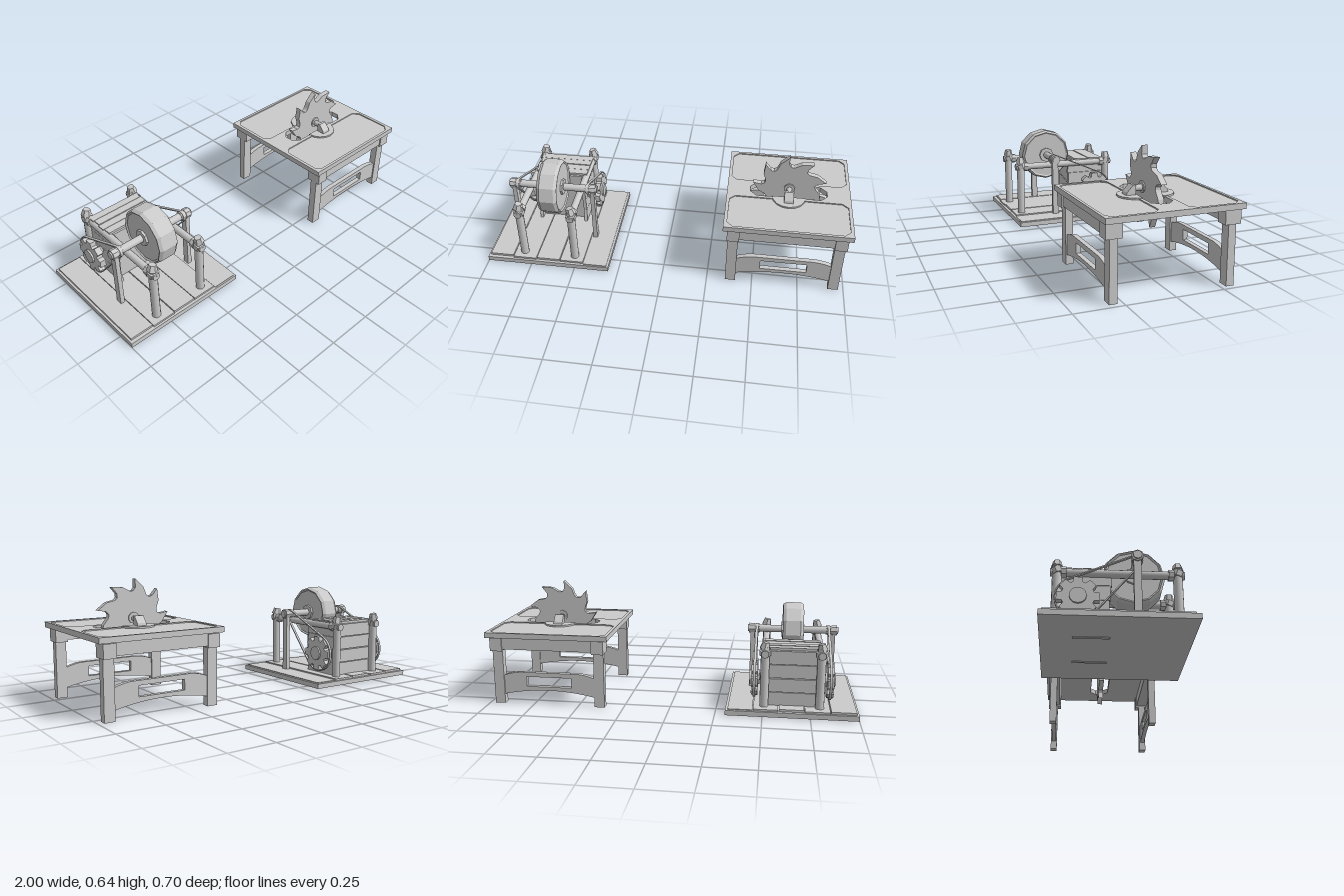
import * as THREE from 'three';

const flat = new THREE.MeshStandardMaterial({ color: 0xcccccc, flatShading: true });
const smooth = new THREE.MeshStandardMaterial({ color: 0xcccccc });

export function createModel() {
  const root = new THREE.Group();
  const table = new THREE.Group(), grinder = new THREE.Group();
  table.name = 'sawTable';
  grinder.name = 'grinder';
  root.add(table, grinder);

  const add = (parent, name, geo, mat = flat) => {
    const m = new THREE.Mesh(geo, mat);
    m.name = name;
    parent.add(m);
    return m;
  };
  // Box given by its minimum and maximum corners
  const box = (parent, name, x0, x1, y0, y1, z0, z1) =>
    add(parent, name, new THREE.BoxGeometry(x1 - x0, y1 - y0, z1 - z0)
      .translate((x0 + x1) / 2, (y0 + y1) / 2, (z0 + z1) / 2));
  // Cylinder along an axis
  const rod = (parent, name, axis, r, len, x, y, z, sides = 12, mat = flat) => {
    const g = new THREE.CylinderGeometry(r, r, len, sides);
    if (axis === 'x') g.rotateZ(Math.PI / 2);
    if (axis === 'z') g.rotateX(Math.PI / 2);
    return add(parent, name, g.translate(x, y, z), mat);
  };
  const shapeOf = pts => new THREE.Shape(pts.map(p => new THREE.Vector2(...p)));
  const extrude = (shape, depth) =>
    new THREE.ExtrudeGeometry(shape, { depth, bevelEnabled: false, curveSegments: 10 });
  // Rectangle with cut corners
  const chamfered = (x0, x1, y0, y1, c) => [
    [x0 + c, y0], [x1 - c, y0], [x1, y0 + c], [x1, y1 - c],
    [x1 - c, y1], [x0 + c, y1], [x0, y1 - c], [x0, y0 + c]];
  const polar = (r, a, cx = 0, cy = 0) => [cx + r * Math.cos(a), cy + r * Math.sin(a)];

  // ---- Saw table ----
  const CX = 0.6625;
  const slab = holes => {
    const s = shapeOf([[0.325, -0.35], [1, -0.35], [1, 0.35], [0.325, 0.35]]);
    s.holes = holes.map(shapeOf);
    return s;
  };
  const slot = chamfered(CX - 0.21, CX + 0.21, -0.057, 0.057, 0.035);
  const flatten = (shape, y, h) => extrude(shape, h).rotateX(-Math.PI / 2).translate(0, y, 0);
  add(table, 'tabletop', flatten(slab([slot]), 0.377, 0.023));
  add(table, 'tabletopBorder', flatten(slab([slot,
    chamfered(0.343, 0.982, 0.075, 0.335, 0.03),
    chamfered(0.343, 0.982, -0.335, -0.075, 0.03)]), 0.4, 0.006));

  for (const s of [-1, 1]) {
    const zs = (a, b) => (s > 0 ? [a, b] : [-b, -a]);
    box(table, 'apronRail', 0.36, 0.965, 0.312, 0.378, ...zs(0.263, 0.333));
    for (const x of [0.352, 0.915]) {
      box(table, 'cornerBlock', x - 0.004, x + 0.062, 0.302, 0.373, ...zs(0.257, 0.34));
      box(table, 'leg', x, x + 0.056, 0, 0.32, ...zs(0.278, 0.318));
    }
    // Arched stretcher with a slot, joining two legs
    const arch = new THREE.Shape();
    arch.moveTo(0.4, 0.05);
    arch.quadraticCurveTo(CX, 0.11, 0.925, 0.05);
    arch.lineTo(0.925, 0.155);
    arch.quadraticCurveTo(0.87, 0.18, 0.81, 0.18);
    arch.lineTo(0.515, 0.18);
    arch.quadraticCurveTo(0.455, 0.18, 0.4, 0.155);
    arch.holes.push(shapeOf([[0.537, 0.1], [0.788, 0.1], [0.788, 0.155], [0.537, 0.155]]));
    add(table, 'archedStretcher', extrude(arch, 0.026).translate(0, 0, s * 0.298 - 0.013));

    // Half-round plate and wedge-shaped bearing for the saw shaft
    const half = Array.from({ length: 9 }, (_, i) => polar(0.09, Math.PI * i / 8, 0, 0.055));
    const plate = flatten(shapeOf(half), 0.398, 0.011).translate(CX, 0, 0);
    if (s > 0) plate.rotateY(Math.PI).translate(2 * CX, 0, 0);
    add(table, 'bearingPlate', plate);
    const wedge = shapeOf([[0.062, 0.405], [0.112, 0.405], [0.108, 0.422],
      [0.076, 0.457], [0.062, 0.457]]);
    const bearing = extrude(wedge, 0.05).rotateY(-Math.PI / 2).translate(0.025, 0, 0);
    if (s < 0) bearing.rotateY(Math.PI);
    add(table, 'sawBearing', bearing.translate(CX, 0, 0));
  }

  // Saw blade with nine hooked teeth
  const teeth = [];
  for (let i = 0; i < 9; i++) {
    const a = 1.64 - i * Math.PI * 2 / 9;
    for (const [r, d] of [[0.142, 0.47], [0.168, 0.29], [0.2, 0], [0.155, 0.02], [0.139, -0.05], [0.137, -0.15]])
      teeth.push(polar(r, a + d));
  }
  add(table, 'sawBlade', extrude(shapeOf(teeth), 0.03).translate(CX, 0.44, -0.015));
  rod(table, 'sawFlange', 'z', 0.03, 0.044, CX, 0.44, 0, 10);
  rod(table, 'sawShaft', 'z', 0.016, 0.14, CX, 0.437, 0, 10, smooth);

  // ---- Grinder: base ----
  const GX = -0.6525;
  box(grinder, 'base', -1, -0.305, 0.003, 0.03, -0.35, 0.35);
  const ends = [0.335, 0.342, 0.33, 0.338, 0.334];
  ends.forEach((e, i) => {
    const x = -0.988 + i * 0.135;
    box(grinder, 'floorPlank', x, x + 0.131, 0.028, i === 4 ? 0.034 : 0.042 - (i % 2) * 0.002, -e, ends[(i + 2) % 5]);
  });

  // Round posts, long rails and lashed joints
  for (const s of [-1, 1]) {
    const x = GX + s * 0.146;
    rod(grinder, 'rail', 'z', 0.02, 0.63, x, 0.33, 0.005, 12, smooth);
    for (const z of [-0.278, 0.288]) {
      rod(grinder, 'post', 'y', 0.023, 0.33, x, 0.2, z, 12, smooth);
      add(grinder, 'postCap', new THREE.CylinderGeometry(0.02, 0.029, 0.035, 6)
        .rotateZ(s * 0.2).translate(x, 0.372, z));
      rod(grinder, 'railLashing', 'z', 0.028, 0.026, x, 0.33, z - Math.sign(z) * 0.032, 7);
      const tie = rod(grinder, 'postLashing', 'y', 0.031, 0.03, 0, 0, 0, 7);
      tie.position.set(x, 0.335, z);
      tie.rotation.x = 0.35 * Math.sign(z);
    }
  }

  // Planked box with ragged front ends
  const rag = [0.022, 0.033, 0.028, 0.021];
  for (let i = 0; i < 4; i++) {
    const y = 0.04 + i * 0.076;
    for (const s of [-1, 1]) {
      const x = GX + s * 0.136;
      const jag = shapeOf([[rag[i], y], [0.255, y], [0.255, y + 0.074], [rag[(i + 1) % 4] + 0.006, y + 0.074]]);
      add(grinder, 'sidePlank', extrude(jag, 0.018).rotateY(Math.PI / 2).translate(x - 0.009, 0, 0));
    }
    box(grinder, 'backPlank', GX - 0.14, GX + 0.14, y, y + 0.072, -0.262 - (i % 2) * 0.004, -0.24);
    box(grinder, 'lidPlank', GX - 0.153 + (i % 2) * 0.006, GX + 0.153, 0.343, 0.355 + (i % 2) * 0.002,
      -0.251 + i * 0.046, -0.209 + i * 0.046);
  }
  box(grinder, 'frontPanel', GX - 0.13, GX + 0.13, 0.04, 0.344, -0.075, -0.06);
  box(grinder, 'boxCore', GX - 0.128, GX + 0.128, 0.04, 0.344, -0.245, -0.07);
  for (const s of [-1, 1])
    box(grinder, 'sillTenon', GX + s * 0.136 - 0.008, GX + s * 0.136 + 0.008, 0, 0.045, -0.2, -0.03);

  // Grindstone on its axle
  const WY = 0.377, WZ = 0.09;
  const profile = [[0.001, -0.05], [0.135, -0.05], [0.144, -0.057], [0.155, -0.04],
    [0.155, 0.04], [0.144, 0.057], [0.135, 0.05], [0.001, 0.05]];
  add(grinder, 'grindstone', new THREE.LatheGeometry(profile.map(p => new THREE.Vector2(...p)), 12)
    .rotateZ(Math.PI / 2).translate(GX, WY, WZ));
  rod(grinder, 'grindstoneHub', 'x', 0.045, 0.125, GX, WY, WZ, 8);
  rod(grinder, 'axle', 'x', 0.021, 0.505, GX, WY, WZ, 12, smooth);

  // Belt loop around the toothed wheel and the axle pulley; u is -z
  const gear = [0.18, 0.17], pulley = [-WZ, WY - 0.002];
  const dx = pulley[0] - gear[0], dy = pulley[1] - gear[1];
  const dir = Math.atan2(dy, dx), dist = Math.hypot(dx, dy);
  const loop = (R, r) => {
    const b = Math.acos((R - r) / dist), pts = [];
    for (let i = 0; i <= 18; i++) pts.push(polar(R, dir + b + (2 * Math.PI - 2 * b) * i / 18, ...gear));
    for (let i = 0; i <= 8; i++) pts.push(polar(r, dir - b + 2 * b * i / 8, ...pulley));
    return pts;
  };
  const belt = shapeOf(loop(0.108, 0.03));
  belt.holes.push(shapeOf(loop(0.102, 0.024)));
  const cog = [];
  for (let i = 0; i < 8; i++) {
    const a = Math.PI / 2 + i * Math.PI / 4;
    for (const [r, d] of [[0.076, -0.3], [0.1, -0.2], [0.1, 0.2], [0.076, 0.3]]) cog.push(polar(r, a + d, ...gear));
  }

  // Drive parts on both ends
  for (const s of [-1, 1]) {
    const x = GX + s * 0.2;
    const side = (name, shape, w) =>
      add(grinder, name, extrude(shape, w).rotateY(Math.PI / 2).translate(x - w / 2, 0, 0));
    side('driveBelt', belt, 0.014);
    side('toothedWheel', shapeOf(cog), 0.034);
    rod(grinder, 'wheelHub', 'x', 0.04, 0.054, x, 0.17, -0.18, 12);
    rod(grinder, 'axlePulley', 'x', 0.025, 0.03, x, WY, WZ, 10);
    const px = GX + s * 0.225;
    box(grinder, 'axlePost', px - 0.012, px + 0.012, 0.03, 0.365, WZ - 0.018, WZ + 0.018);
    rod(grinder, 'axleCollar', 'x', 0.029, 0.03, GX + s * 0.23, WY, WZ, 8);
  }
  rod(grinder, 'driveShaft', 'x', 0.018, 0.42, GX, 0.17, -0.18, 10, smooth);

  return root;
}
